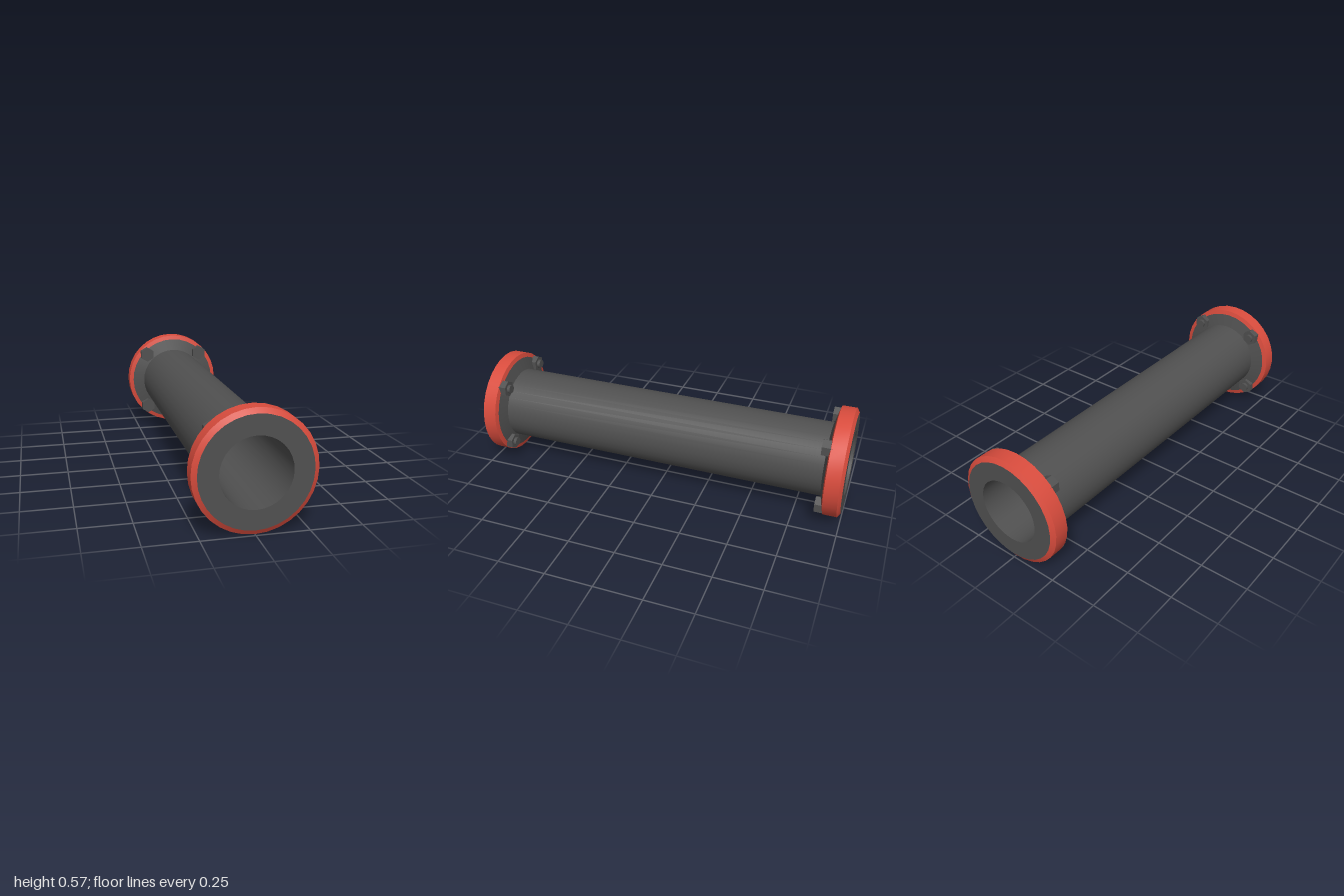
import * as THREE from 'three';
import { toCreasedNormals } from 'three/addons/utils/BufferGeometryUtils.js';

const SIDES = 32;
const CENTRE_Y = 0.287;
const grey = new THREE.MeshStandardMaterial({ color: 0x505050 });
const red = new THREE.MeshStandardMaterial({ color: 0xd94c3d });

// Revolves [radius, z] pairs around the z axis
function ring(name, material, profile) {
  const points = profile.map(([r, z]) => new THREE.Vector2(r, z));
  const geometry = new THREE.LatheGeometry(points, SIDES).rotateX(Math.PI / 2);
  const mesh = new THREE.Mesh(toCreasedNormals(geometry, 0.3), material);
  mesh.name = name;
  return mesh;
}

// Prism or rod along z between two depths
function rod(name, radius, z0, z1, sides) {
  const geometry = new THREE.CylinderGeometry(radius, radius, z1 - z0, sides);
  geometry.rotateX(Math.PI / 2).translate(0, 0, (z0 + z1) / 2);
  const mesh = new THREE.Mesh(toCreasedNormals(geometry, 0.9), grey);
  mesh.name = name;
  return mesh;
}

// End flange facing +z, with four nuts or bolt heads on its inner side
function makeFlange(name, withNuts) {
  const flange = new THREE.Group();
  flange.name = name;
  flange.add(
    ring('flangeFace', grey, [[0.262, 1], [0.167, 1]]),
    ring('flangeRim', red, [[0.262, 0.905], [0.286, 0.912], [0.286, 0.985], [0.262, 1]]),
    ring('flangeBack', grey, [[0.193, 0.887], [0.262, 0.905]])
  );
  for (let i = 0; i < 4; i++) {
    const angle = Math.PI / 4 + (i * Math.PI) / 2;
    const bolt = new THREE.Group();
    bolt.name = withNuts ? 'boltEnd' : 'boltHead';
    bolt.position.set(0.242 * Math.cos(angle), 0.242 * Math.sin(angle), 0);
    if (withNuts) {
      bolt.add(rod('nut', 0.045, 0.874, 0.92, 6), rod('boltTip', 0.024, 0.858, 0.92, 12));
    } else {
      bolt.add(rod('hexHead', 0.045, 0.868, 0.92, 6));
    }
    flange.add(bolt);
  }
  return flange;
}

export function createModel() {
  const model = new THREE.Group();
  model.name = 'flangedPipe';

  // Hollow pipe
  const pipe = new THREE.Group();
  pipe.name = 'pipe';
  pipe.add(
    ring('pipeWall', grey, [[0.194, -0.89], [0.194, 0.89]]),
    ring('pipeBore', grey, [[0.167, 1], [0.167, -1]])
  );

  // Nuts on the front flange, bolt heads on the back one
  const frontFlange = makeFlange('frontFlange', true);
  const backFlange = makeFlange('backFlange', false);
  backFlange.rotation.y = Math.PI;

  for (const part of [pipe, frontFlange, backFlange]) {
    part.position.y = CENTRE_Y;
    model.add(part);
  }
  return model;
}
